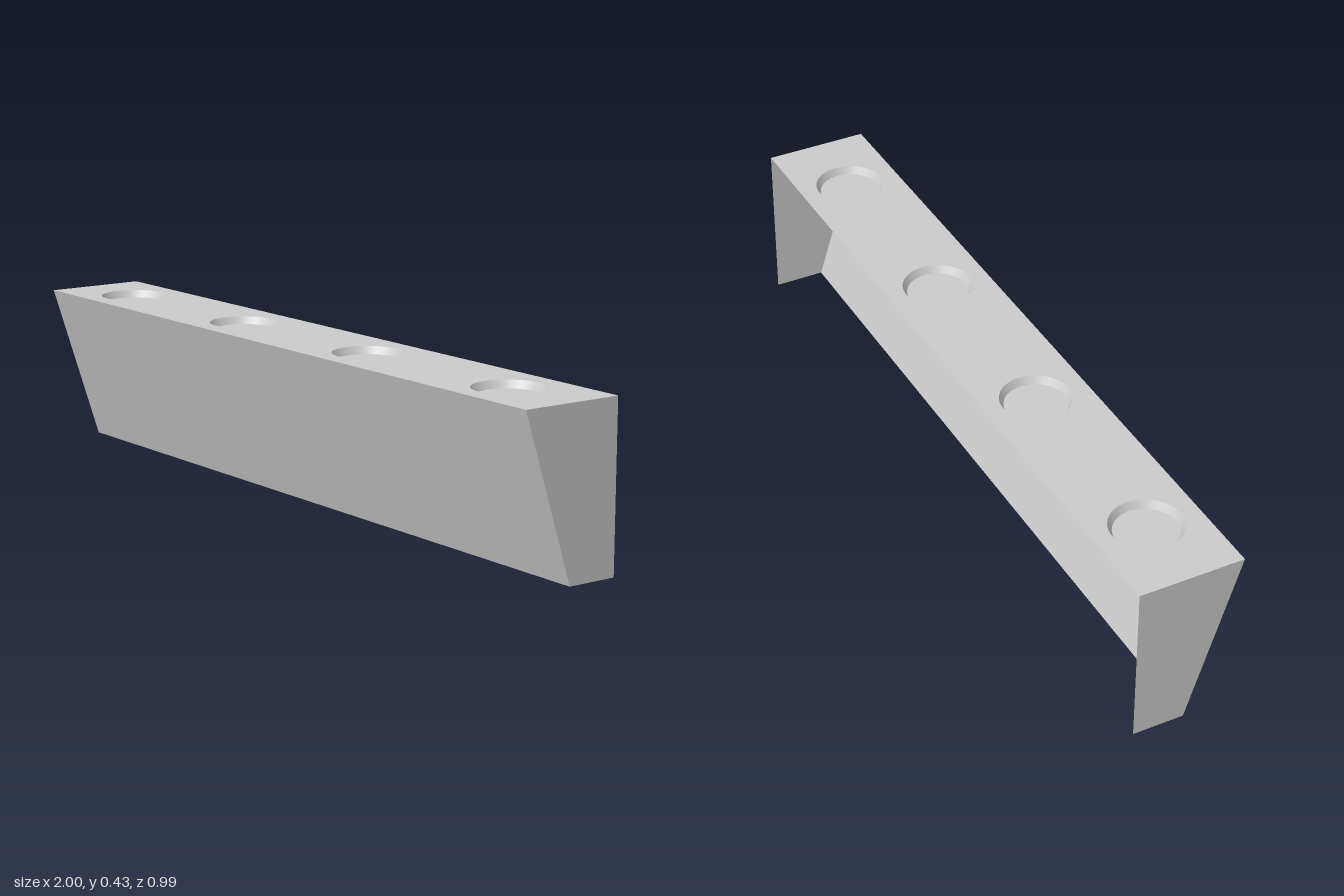
import * as THREE from 'three';

const LENGTH = 2.037, DEPTH = 0.274, HEIGHT = 0.427, ANGLE = THREE.MathUtils.degToRad(21);
const FRONT = DEPTH / 2, BACK = -DEPTH / 2, FOOT = -0.003; // FOOT: z of the front panel's lower edge
const CUP_TOP = 0.09, CUP_BOTTOM = 0.079, CUP_DEPTH = 0.019, CUP_SPACING = 0.537, CUP_SHIFT = -0.006;

const polygon = (points) => new THREE.Shape(points.map(([x, y]) => new THREE.Vector2(x, y)));

export function createModel() {
  const group = new THREE.Group();
  group.name = 'holderRail';
  const material = new THREE.MeshStandardMaterial({ color: 0xcccccc, side: THREE.DoubleSide });
  const add = (name, geometry, x, y, z) => {
    const mesh = new THREE.Mesh(geometry, material);
    mesh.name = name;
    mesh.position.set(x, y, z);
    group.add(mesh);
    return mesh;
  };
  const cupXs = [-1.5, -0.5, 0.5, 1.5].map((i) => i * CUP_SPACING + CUP_SHIFT);

  // Top sheet with a round opening for each cup
  const h = LENGTH / 2;
  const top = polygon([[-h, BACK], [h, BACK], [h, FRONT], [-h, FRONT]]);
  for (const x of cupXs) {
    top.holes.push(new THREE.Path().absarc(x, 0, CUP_TOP, 0, Math.PI * 2, true));
  }
  add('topPlate', new THREE.ShapeGeometry(top, 24).rotateX(-Math.PI / 2), 0, HEIGHT, 0);

  // Shallow tapered cups hanging below the openings
  for (const x of cupXs) {
    add('cupWall', new THREE.CylinderGeometry(CUP_TOP, CUP_BOTTOM, CUP_DEPTH, 48, 1, true), x, HEIGHT - CUP_DEPTH / 2, 0);
    add('cupFloor', new THREE.CircleGeometry(CUP_BOTTOM, 48).rotateX(-Math.PI / 2), x, HEIGHT - CUP_DEPTH, 0);
  }

  // Front panel leaning back towards its foot; the back and bottom stay open
  const lean = FRONT - FOOT;
  const front = add('frontPanel', new THREE.PlaneGeometry(LENGTH, Math.hypot(lean, HEIGHT)), 0, HEIGHT / 2, (FRONT + FOOT) / 2);
  front.rotation.x = Math.atan2(lean, HEIGHT);

  // Tapered end panels
  const end = polygon([[BACK, 0], [FOOT, 0], [FRONT, HEIGHT], [BACK, HEIGHT]]);
  for (const side of [-1, 1]) {
    add(side > 0 ? 'leftEndPanel' : 'rightEndPanel', new THREE.ShapeGeometry(end).rotateY(-Math.PI / 2), side * h, 0, 0);
  }

  // The rail stands at an angle to the front
  group.rotation.y = -ANGLE;
  return group;
}
